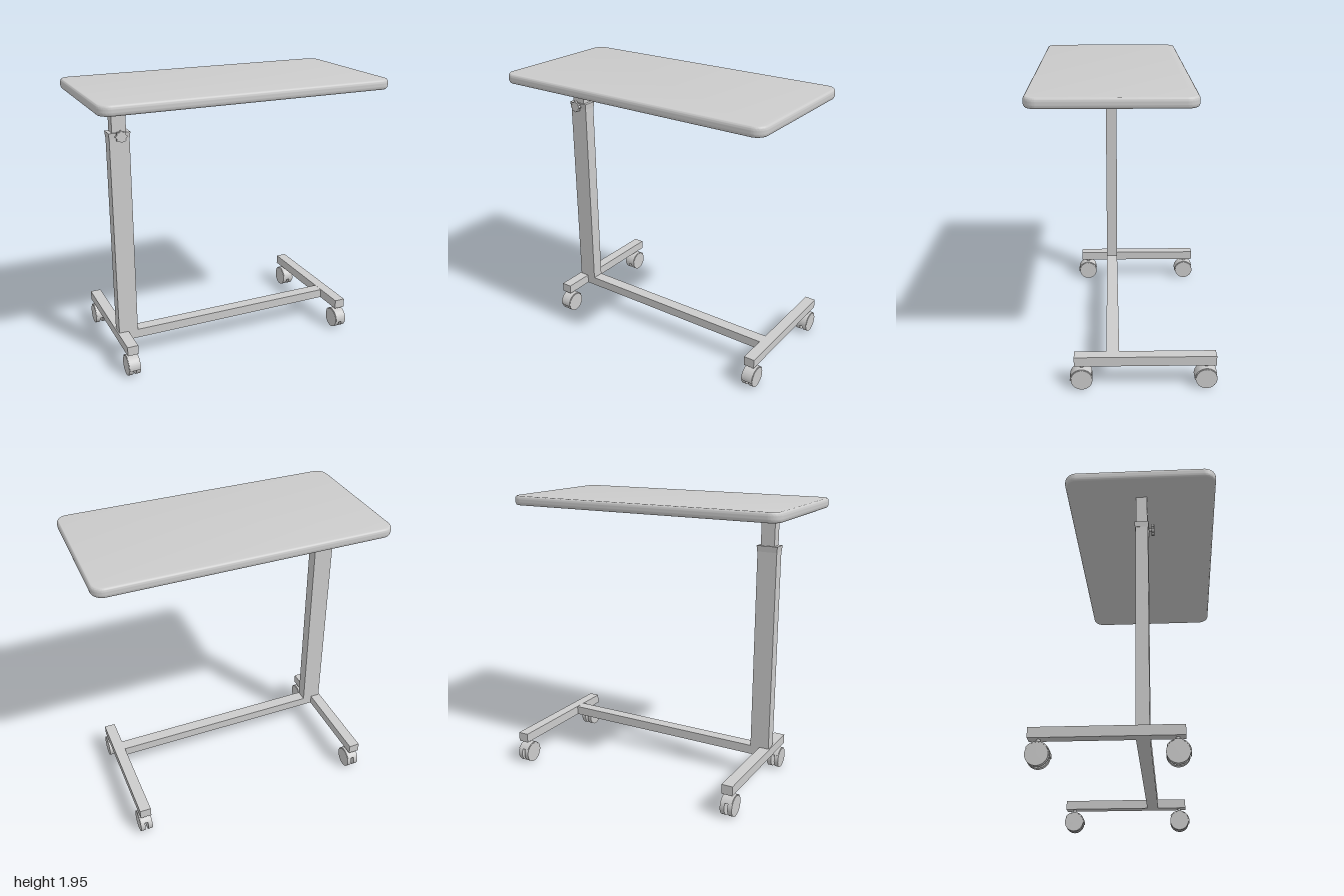
import * as THREE from 'three';
import { toCreasedNormals } from 'three/addons/utils/BufferGeometryUtils.js';

const material = new THREE.MeshStandardMaterial({ color: 0xcccccc });

function add(parent, name, geometry, x = 0, y = 0, z = 0) {
  const mesh = new THREE.Mesh(geometry, material);
  mesh.name = name;
  mesh.position.set(x, y, z);
  parent.add(mesh);
  return mesh;
}

// Box given by its limits on each axis
function bar(parent, name, [x0, x1], [y0, y1], [z0, z1]) {
  return add(parent, name, new THREE.BoxGeometry(x1 - x0, y1 - y0, z1 - z0),
    (x0 + x1) / 2, (y0 + y1) / 2, (z0 + z1) / 2);
}

// Rounded slab with softened top and bottom edges
function tabletopGeometry(width, depth, height, radius) {
  const inset = 0.015, soft = 0.025;
  const w = width / 2 - inset, d = depth / 2 - inset, r = radius - inset;
  const shape = new THREE.Shape();
  shape.absarc(w - r, d - r, r, 0, Math.PI / 2);
  shape.absarc(-w + r, d - r, r, Math.PI / 2, Math.PI);
  shape.absarc(-w + r, -d + r, r, Math.PI, Math.PI * 1.5);
  shape.absarc(w - r, -d + r, r, Math.PI * 1.5, Math.PI * 2);
  const geometry = new THREE.ExtrudeGeometry(shape, {
    depth: height - 2 * soft, bevelThickness: soft, bevelSize: inset,
    bevelSegments: 6, curveSegments: 10,
  });
  geometry.translate(0, 0, soft - height / 2).rotateX(-Math.PI / 2);
  return toCreasedNormals(geometry, 0.6);
}

// Star-shaped hand knob on a threaded shaft
function createKnob() {
  const knob = new THREE.Group();
  knob.name = 'heightKnob';
  const points = [];
  for (let i = 0; i < 64; i++) {
    const a = (i / 64) * Math.PI * 2;
    const r = 0.036 + 0.004 * Math.cos(8 * a);
    points.push(new THREE.Vector2(r * Math.cos(a), r * Math.sin(a)));
  }
  const grip = new THREE.ExtrudeGeometry(new THREE.Shape(points), { depth: 0.02, bevelEnabled: false });
  add(knob, 'knobGrip', toCreasedNormals(grip, 0.6), 0, 0, 0.155);
  const shaft = new THREE.CylinderGeometry(0.012, 0.012, 0.04, 20).rotateX(Math.PI / 2);
  add(knob, 'knobShaft', shaft, 0, 0, 0.14);
  return knob;
}

// Twin-wheel caster with a curved hood, centred on its stem
function createCaster() {
  const caster = new THREE.Group();
  caster.name = 'caster';
  const cy = 0.071;
  for (const side of [-1, 1]) {
    const wheel = new THREE.CylinderGeometry(0.07, 0.07, 0.031, 36).rotateZ(Math.PI / 2);
    add(caster, 'wheel', wheel, side * 0.0265, cy, 0);
  }

  // Hood arc, swept from the front over the top
  const start = -0.1, end = 2.6;
  const arc = new THREE.Shape();
  arc.absarc(0, 0, 0.077, start, end, false);
  arc.absarc(0, 0, 0.071, end, start, true);
  const hood = new THREE.ExtrudeGeometry(arc, { depth: 0.08, bevelEnabled: false, curveSegments: 24 });
  hood.translate(0, 0, -0.04).rotateY(-Math.PI / 2);
  add(caster, 'hood', toCreasedNormals(hood, 0.6), 0, cy, 0);

  // Web between the wheels
  const web = new THREE.Shape();
  web.absarc(0, 0, 0.073, start, end, false);
  const webGeometry = new THREE.ExtrudeGeometry(web, { depth: 0.022, bevelEnabled: false, curveSegments: 24 });
  webGeometry.translate(0, 0, -0.011).rotateY(-Math.PI / 2);
  add(caster, 'web', toCreasedNormals(webGeometry, 0.6), 0, cy, 0);

  add(caster, 'axle', new THREE.CylinderGeometry(0.012, 0.012, 0.05, 16).rotateZ(Math.PI / 2), 0, cy, 0);
  add(caster, 'stem', new THREE.CylinderGeometry(0.012, 0.012, 0.04, 16), 0, 0.155, 0);
  return caster;
}

export function createModel() {
  const table = new THREE.Group();
  table.name = 'overbedTable';

  add(table, 'tabletop', tabletopGeometry(2, 1, 0.065, 0.08), 0, 1.9175, 0.09);

  // Telescopic column
  bar(table, 'innerPost', [-0.8, -0.705], [1.5, 1.89], [0.056, 0.13]);
  bar(table, 'outerColumn', [-0.82, -0.685], [0.235, 1.66], [0.051, 0.135]);

  // Collar, slightly flared towards its top
  const collar = bar(table, 'collar', [-0.825, -0.68], [1.63, 1.67], [0.045, 0.141]);
  const p = collar.geometry.attributes.position;
  for (let i = 0; i < p.count; i++) {
    if (p.getY(i) < 0) p.setXYZ(i, p.getX(i) * 0.95, p.getY(i), p.getZ(i) * 0.92);
  }
  collar.geometry.computeVertexNormals();

  const knob = createKnob();
  knob.position.set(-0.75, 1.65, 0);
  table.add(knob);

  // Base: two feet, a crossbar and four casters
  bar(table, 'crossbar', [-0.76, 0.83], [0.171, 0.235], [0.051, 0.135]);
  for (const [name, x] of [['rightFoot', -0.791], ['leftFoot', 0.859]]) {
    bar(table, name, [x - 0.038, x + 0.038], [0.17, 0.236], [-0.58, 0.345]);
    for (const z of [0.297, -0.518]) {
      const caster = createCaster();
      caster.position.set(x + 0.002, 0, z);
      table.add(caster);
    }
  }
  return table;
}
